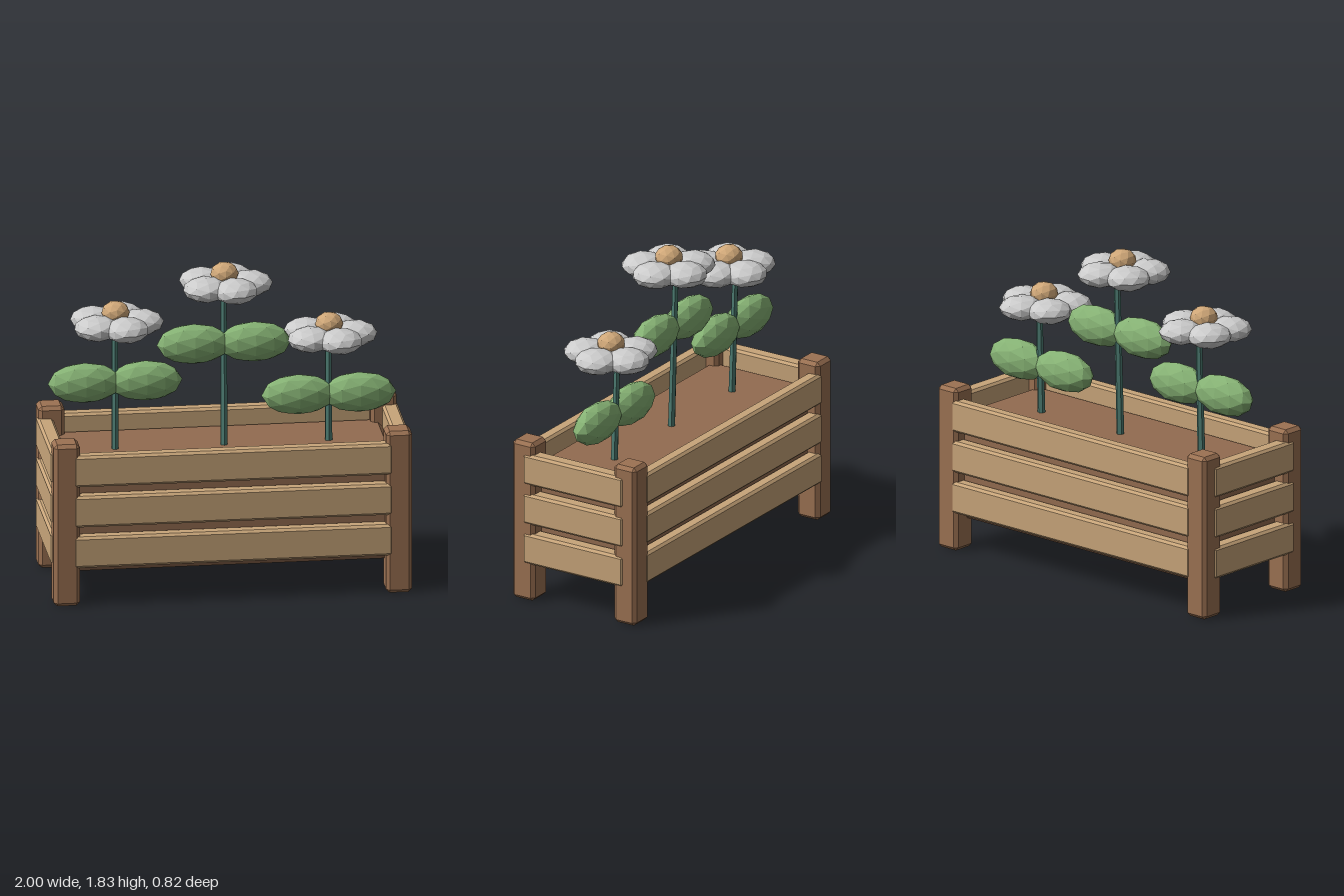
import * as THREE from 'three';
import { ConvexGeometry } from 'three/addons/geometries/ConvexGeometry.js';

const mat = (color) => new THREE.MeshStandardMaterial({ color, flatShading: true });

// Box with a flat chamfer on every edge, centred on its origin
function chamferBox(w, h, d, c) {
  const points = [];
  for (const sx of [-1, 1]) for (const sy of [-1, 1]) for (const sz of [-1, 1]) {
    const x = w / 2, y = h / 2, z = d / 2;
    points.push(
      new THREE.Vector3(sx * x, sy * (y - c), sz * (z - c)),
      new THREE.Vector3(sx * (x - c), sy * y, sz * (z - c)),
      new THREE.Vector3(sx * (x - c), sy * (y - c), sz * z));
  }
  return new ConvexGeometry(points);
}

export function createModel() {
  const model = new THREE.Group();
  model.name = 'flowerPlanter';

  const postMat = mat(0x9c7253), slatMat = mat(0xc8a57a), soilMat = mat(0x936c50);
  const stemMat = mat(0x4f7f75), leafMat = mat(0x86b274), petalMat = mat(0xcccccc), centreMat = mat(0xcfa778);

  function add(parent, name, geometry, material, x, y, z) {
    const mesh = new THREE.Mesh(geometry, material);
    mesh.name = name;
    mesh.position.set(x, y, z);
    parent.add(mesh);
    return mesh;
  }

  // Soil-filled core
  add(model, 'soilBox', chamferBox(1.82, 0.595, 0.67, 0.025), soilMat, 0, 0.4725, 0);

  // Corner posts
  const postGeo = chamferBox(0.145, 0.935, 0.145, 0.02);
  for (const x of [-0.92, 0.92]) for (const z of [-0.333, 0.333])
    add(model, 'cornerPost', postGeo, postMat, x, 0.4675, z);

  // Three rows of slats on all four sides
  const longSlat = chamferBox(1.77, 0.18, 0.08, 0.014);
  const endSlat = chamferBox(0.09, 0.18, 0.66, 0.014);
  for (const y of [0.31, 0.545, 0.778]) for (const side of [-1, 1]) {
    add(model, side > 0 ? 'frontSlat' : 'backSlat', longSlat, slatMat, 0, y, side * 0.37);
    add(model, side > 0 ? 'leftSlat' : 'rightSlat', endSlat, slatMat, side * 0.955, y, 0);
  }

  // Faceted blobs shared by the flowers
  const blob = new THREE.IcosahedronGeometry(1, 1);
  const leafGeo = blob.clone().scale(0.205, 0.115, 0.088);
  const petalGeo = blob.clone().scale(0.125, 0.066, 0.125);
  const centreGeo = blob.clone().scale(0.078, 0.066, 0.078);

  // Flowers: x position, height of the petals, height of the leaves
  for (const [x, headY, leafY] of [[-0.603, 1.505, 1.157], [0, 1.705, 1.357], [0.58, 1.39, 1.04]]) {
    const flower = new THREE.Group();
    flower.name = 'flower';
    flower.position.x = x;
    model.add(flower);

    // Stem leaning slightly backwards
    const stemLength = headY - 0.7;
    const stem = add(flower, 'stem', new THREE.CylinderGeometry(0.018, 0.022, stemLength, 6), stemMat,
      0, 0.7 + stemLength / 2, -0.01);
    stem.rotation.x = -0.03;

    // Pair of leaves
    for (const side of [-1, 1]) add(flower, 'leaf', leafGeo, leafMat, side * 0.168, leafY, 0);

    // Five petals round the centre
    const head = new THREE.Group();
    head.name = 'bloom';
    head.position.set(0, headY, 0.02);
    flower.add(head);
    for (let i = 0; i < 5; i++) {
      const a = i * Math.PI * 2 / 5;
      add(head, 'petal', petalGeo, petalMat, 0.142 * Math.cos(a), 0, 0.142 * Math.sin(a)).rotation.y = -a;
    }
    add(head, 'flowerCentre', centreGeo, centreMat, 0, 0.06, 0);
  }
  return model;
}
